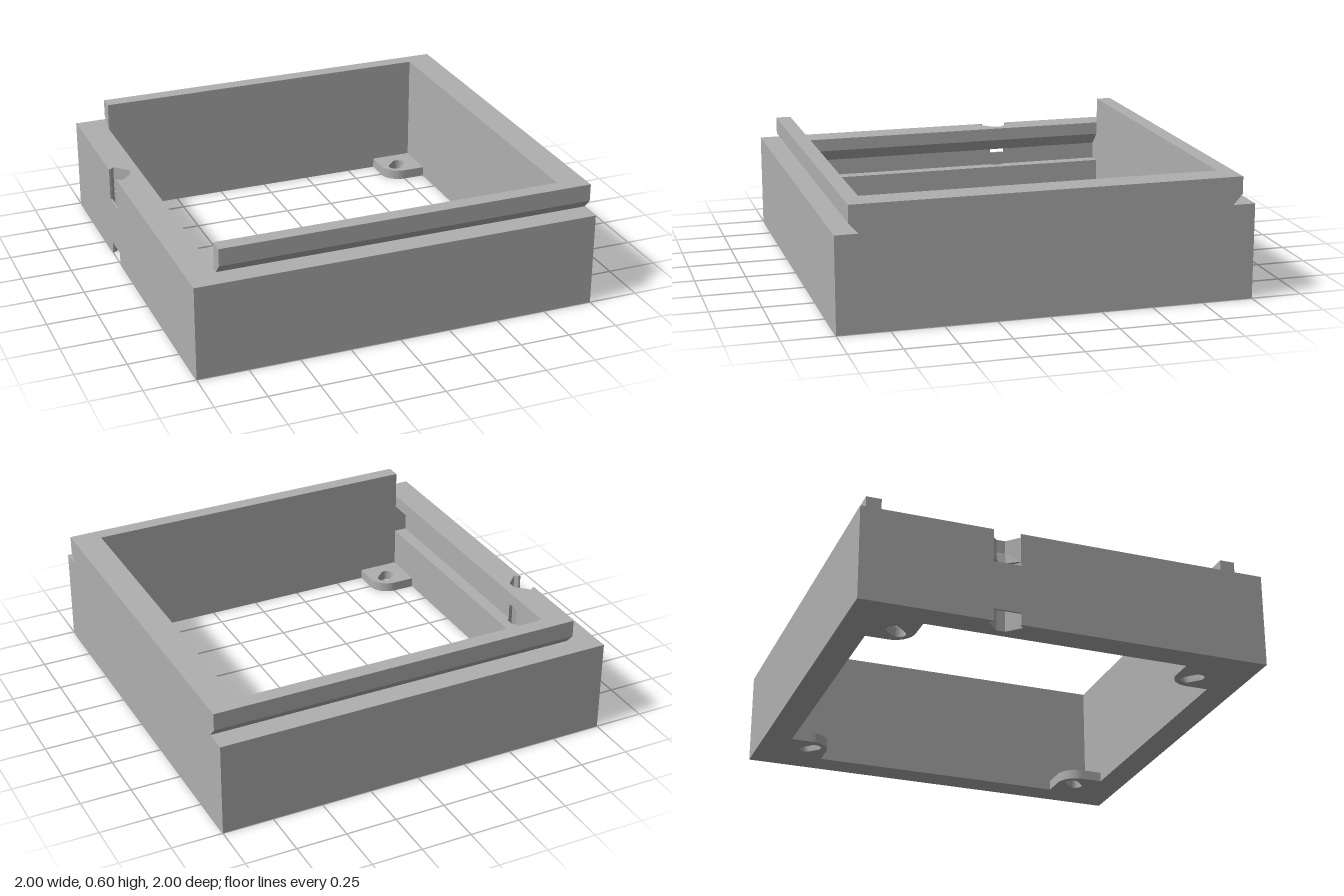
import * as THREE from 'three';

const WALL = 0.86;   // inner face of the walls
const RIM = 0.465;   // height of the shoulder
const TOP = 0.6;     // height of the rail

export function createModel() {
  const group = new THREE.Group();
  const grey = new THREE.MeshStandardMaterial({ color: 0xb0b0b0 });
  grey.name = 'grey plastic';

  const add = (name, geometry) => {
    const mesh = new THREE.Mesh(geometry, grey);
    mesh.name = name;
    group.add(mesh);
    return mesh;
  };
  const shapeOf = (pts) => new THREE.Shape(pts.map(([x, y]) => new THREE.Vector2(x, y)));
  const extrude = (shape, depth) =>
    new THREE.ExtrudeGeometry(shape, { depth, bevelEnabled: false, curveSegments: 10 });
  // Plan shape drawn in (x, -z), raised from y0 to y1
  const slab = (shape, y0, y1) => extrude(shape, y1 - y0).rotateX(-Math.PI / 2).translate(0, y0, 0);
  const box = (name, x0, x1, y0, y1, z0, z1) =>
    add(name, new THREE.BoxGeometry(x1 - x0, y1 - y0, z1 - z0)
      .translate((x0 + x1) / 2, (y0 + y1) / 2, (z0 + z1) / 2));

  // Front and back walls with dovetail rails
  const railProfile = [[WALL, 0], [1, 0], [1, RIM], [0.89, RIM], [0.935, 0.515], [0.935, TOP], [WALL, TOP]];
  for (const s of [1, -1]) {
    const shape = shapeOf(railProfile.map(([z, y]) => [-s * z, y]));
    add(s > 0 ? 'frontWall' : 'backWall',
      extrude(shape, 1 + WALL).rotateY(Math.PI / 2).translate(-WALL, 0, 0));
    // Low corner at the open end
    box('cornerBlock', -1, -WALL, 0, RIM, s > 0 ? WALL : -1, s > 0 ? 1 : -WALL);
  }

  // Plain tall side wall
  box('tallSideWall', WALL, 1, 0, TOP, -WALL, WALL);

  // Low side wall with an undercut groove inside, on both sides of the latch opening
  const back = -0.925, ledge = 0.25, slope = 0.335, lip = 0.4;
  const grooveProfile = shapeOf([[-1, 0], [-WALL, 0], [-WALL, ledge], [back, ledge],
    [back, slope], [-WALL, lip], [-WALL, RIM], [-1, RIM]]);
  const mid = -0.298, half = 0.11;
  for (const [z0, z1] of [[-WALL, mid - half], [mid + half, WALL]]) {
    add('lowSideWall', extrude(grooveProfile, z1 - z0).translate(0, 0, z0));
  }

  // Latch opening: mirrored halves stacked in layers around a vertical channel
  const solidHalf = [[-1, half], [-1, 0.066], [-0.99, 0.066], [-0.973, 0.083],
    [-0.909, 0.021], [-0.909, 0], [-WALL, 0], [-WALL, half]];
  const grooveHalf = [[-1, half], [-1, 0.066], [-0.99, 0.066], [-0.973, 0.083],
    [back, 0.037], [back, half]];
  const layers = [[solidHalf, 0, ledge], [grooveHalf, ledge, slope],
    [solidHalf, slope, lip], [solidHalf, lip, RIM]];
  for (const s of [1, -1]) {
    for (const [pts, y0, y1] of layers) {
      const geometry = slab(shapeOf(pts.map(([x, d]) => [x, -(mid + s * d)])), y0, y1);
      if (y0 === slope) {
        // Undercut of the lip: pull the lower edge back to the groove
        const p = geometry.attributes.position;
        for (let i = 0; i < p.count; i++) {
          if (p.getY(i) < slope + 0.01) p.setX(i, Math.min(p.getX(i), back));
        }
        geometry.computeVertexNormals();
      }
      add('latchSurround', geometry);
    }
  }
  // Thin skin closing the middle of the channel
  box('latchSkin', -1, -0.99, 0.06, 0.3, mid - 0.066, mid + 0.066);

  // Corner mounting tabs with diagonal slots
  const inner = 0.65, r = 0.1, a = 0.722, b = 0.757, w = 0.034;
  for (const sx of [1, -1]) {
    for (const sz of [1, -1]) {
      const angle = Math.atan2(sz, sx);
      const tab = new THREE.Shape();
      tab.moveTo(sx * WALL, sz * WALL);
      tab.lineTo(sx * inner, sz * WALL);
      tab.lineTo(sx * inner, sz * (inner + r));
      const k = r * 0.45;
      tab.bezierCurveTo(sx * inner, sz * (inner + k), sx * (inner + k), sz * inner,
        sx * (inner + r), sz * inner);
      tab.lineTo(sx * WALL, sz * inner);
      tab.closePath();
      const slot = new THREE.Path();
      slot.absarc(sx * b, sz * b, w, angle - Math.PI / 2, angle + Math.PI / 2, false);
      slot.absarc(sx * a, sz * a, w, angle + Math.PI / 2, angle + Math.PI * 1.5, false);
      slot.closePath();
      tab.holes.push(slot);
      add('mountingTab', slab(tab, 0, 0.05));
    }
  }
  return group;
}
